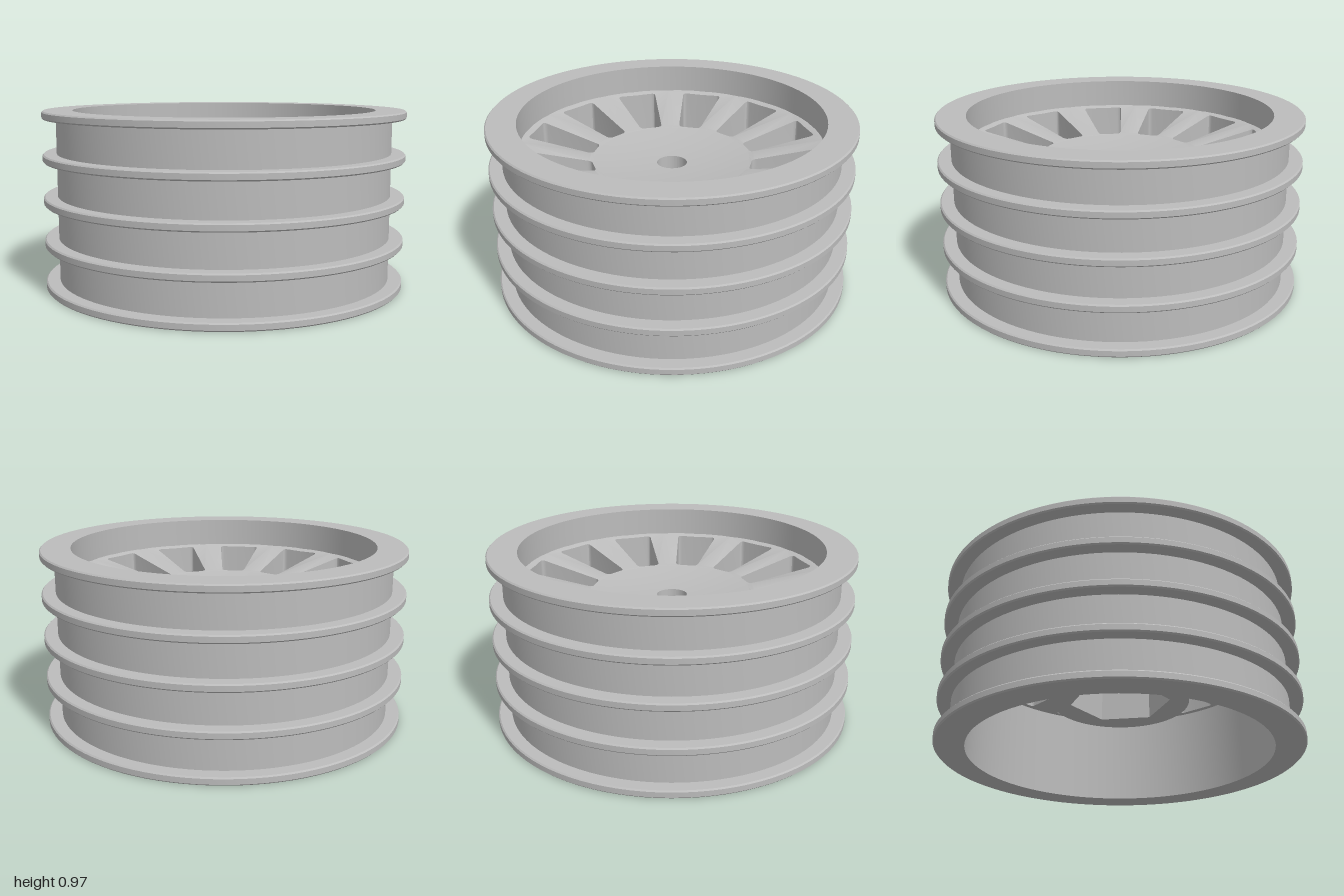
import * as THREE from 'three';
import { toCreasedNormals } from 'three/addons/utils/BufferGeometryUtils.js';

const SEGMENTS = 96;
const SPOKES = 12;
const HUB_R = 0.43;       // where the spokes begin
const BORE_R = 0.083;
const DISC_BOTTOM = 0.53; // flat underside of spokes

// Height of the dished face at radius r
const dish = (r) => 0.685 + 0.18 * r * r;

export function createModel() {
  const group = new THREE.Group();
  const metal = new THREE.MeshStandardMaterial({ color: 0xbcbcbc });
  metal.name = 'grey metal';

  const add = (name, geometry, parent = group) => {
    const mesh = new THREE.Mesh(toCreasedNormals(geometry, 0.5), metal);
    mesh.name = name;
    parent.add(mesh);
    return mesh;
  };
  const lathe = (pts) => new THREE.LatheGeometry(pts.map(([r, y]) => new THREE.Vector2(r, y)), SEGMENTS);

  // Rim: one closed profile with five ribs around the barrel
  const rim = [[0.835, 0]];
  const pitch = 0.2315, thick = 0.043, bevel = 0.007;
  for (let i = 0; i < 5; i++) {
    const y0 = i * pitch, y1 = y0 + thick;
    if (i > 0) rim.push([0.925, y0]);
    rim.push([1 - bevel, y0], [1, y0 + bevel], [1, y1 - bevel], [1 - bevel, y1]);
    if (i < 4) rim.push([0.925, y1]);
  }
  rim.push([0.835, 4 * pitch + thick], [0.835, 0]);
  add('rim', lathe(rim));

  // Hub: dished top, bored through the middle
  const hub = [[BORE_R, 0.5], [0.386, 0.5], [0.386, DISC_BOTTOM], [HUB_R, DISC_BOTTOM]];
  for (let i = 0; i <= 6; i++) {
    const r = HUB_R + (BORE_R - HUB_R) * i / 6;
    hub.push([r, dish(r)]);
  }
  hub.push([BORE_R, 0.5]);
  add('hub', lathe(hub));

  // Hex socket boss below the hub
  const boss = new THREE.Shape().absarc(0, 0, 0.386, 0, Math.PI * 2);
  const hex = [];
  for (let i = 0; i < 6; i++) {
    const a = i * Math.PI / 3;
    hex.push(new THREE.Vector2(0.28 * Math.cos(a), 0.28 * Math.sin(a)));
  }
  boss.holes.push(new THREE.Path(hex));
  const bossGeo = new THREE.ExtrudeGeometry(boss, { depth: 0.19, bevelEnabled: false, curveSegments: SEGMENTS / 2 });
  bossGeo.rotateX(-Math.PI / 2).translate(0, 0.31, 0);
  add('hexSocket', bossGeo);

  // Spoke sector: a spoke along +x with half a window on each side
  const half = Math.PI / SPOKES;
  const at = (r, w, side) => {
    const c = Math.cos(half), s = Math.sin(half);
    return [r * c + w * s, side * (r * s - w * c)];
  };
  const sector = new THREE.Shape();
  sector.moveTo(...at(HUB_R, 0, -1));
  sector.lineTo(...at(0.44, 0, -1));
  sector.lineTo(...at(0.44, 0.042, -1));
  sector.quadraticCurveTo(...at(0.44, 0.064, -1), ...at(0.465, 0.068, -1));
  sector.lineTo(...at(0.775, 0.116, -1));
  sector.quadraticCurveTo(...at(0.8, 0.12, -1), ...at(0.8, 0.095, -1));
  sector.lineTo(...at(0.8, 0, -1));
  sector.lineTo(...at(0.84, 0, -1));
  sector.absarc(0, 0, 0.84, -half, half, false);
  sector.lineTo(...at(0.8, 0, 1));
  sector.lineTo(...at(0.8, 0.095, 1));
  sector.quadraticCurveTo(...at(0.8, 0.12, 1), ...at(0.775, 0.116, 1));
  sector.lineTo(...at(0.465, 0.068, 1));
  sector.quadraticCurveTo(...at(0.44, 0.064, 1), ...at(0.44, 0.042, 1));
  sector.lineTo(...at(0.44, 0, 1));
  sector.lineTo(...at(HUB_R, 0, 1));
  sector.absarc(0, 0, HUB_R, half, -half, true);

  const spokeGeo = new THREE.ExtrudeGeometry(sector, { depth: 1, bevelEnabled: false, curveSegments: 4 });
  spokeGeo.rotateX(-Math.PI / 2);
  // Flat underside, dished top
  const p = spokeGeo.attributes.position;
  for (let i = 0; i < p.count; i++) {
    const top = p.getY(i) > 0.5;
    p.setY(i, top ? dish(Math.hypot(p.getX(i), p.getZ(i))) : DISC_BOTTOM);
  }

  const spokes = new THREE.Group();
  spokes.name = 'spokes';
  group.add(spokes);
  for (let i = 0; i < SPOKES; i++) {
    add('spoke', spokeGeo, spokes).rotation.y = (2 * i + 1) * half;
  }

  return group;
}
